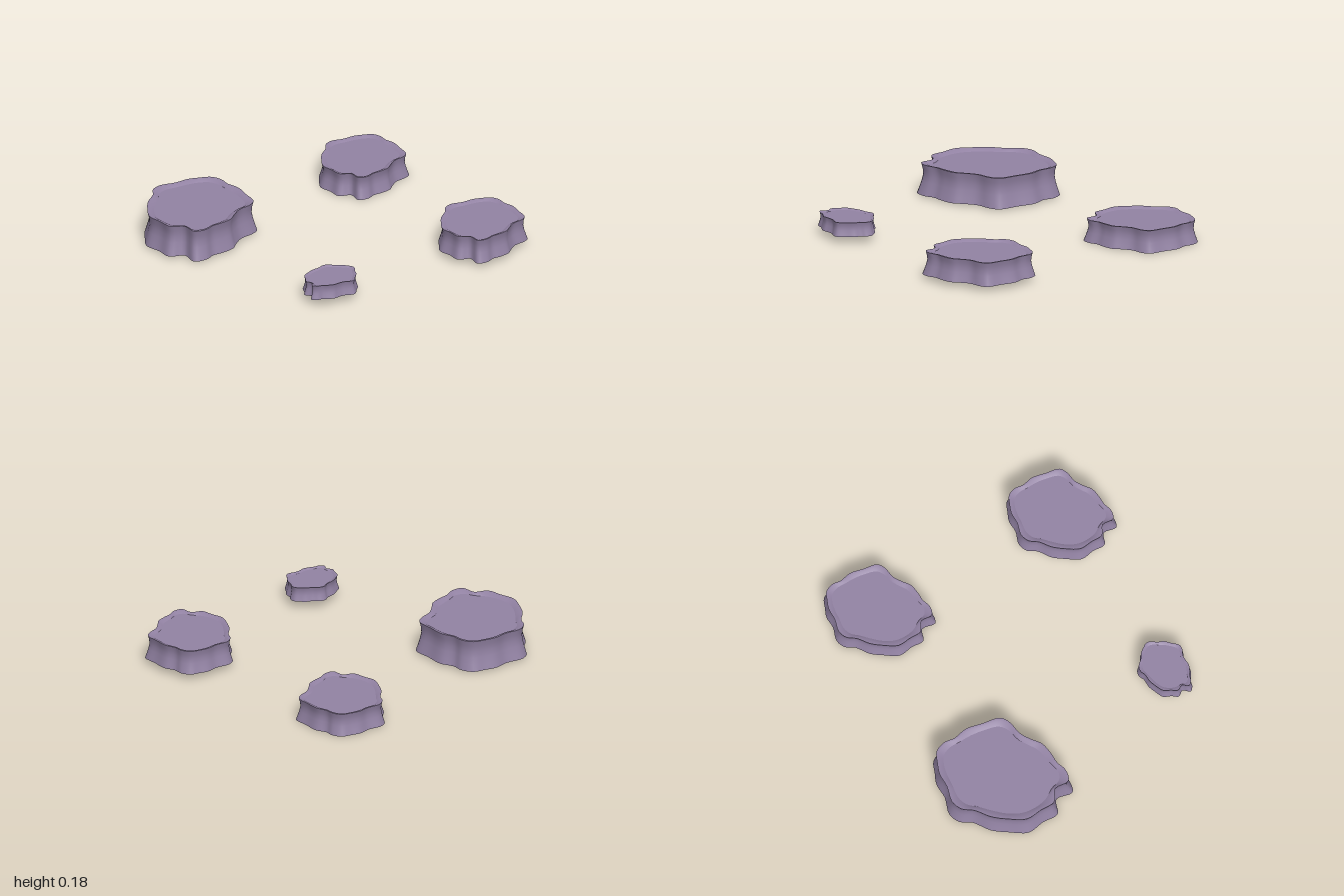
import * as THREE from 'three';

// Ragged stone outline (x, z in hundredths), clockwise seen from above
const OUTLINE = [
  [-7, -37], [0, -36], [5, -32], [13, -30], [21, -23], [29.5, -16], [29.5, -10], [26.5, -2],
  [27, 6], [28, 12], [25, 20], [22, 25], [21, 31.5], [16, 37], [8, 31.5], [1, 36.5],
  [-7, 32], [-16, 28.5], [-21.5, 19], [-25.5, 10], [-26.7, -0.5], [-30, -7], [-29, -14],
  [-22, -21], [-18, -28.5], [-12.5, -33],
].map(([x, z]) => new THREE.Vector2(x / 100, z / 100));
const SEGMENTS = 104;

// One closed ring: the outline softened, pulled inward and set at height y
function ring(inset, soften, y, scale = 1) {
  const n = OUTLINE.length;
  const pts = OUTLINE.map((p, i) => {
    const mean = OUTLINE[(i + n - 1) % n].clone().add(OUTLINE[(i + 1) % n]).multiplyScalar(0.5);
    const q = p.clone().lerp(mean, soften);
    q.setLength(q.length() - inset).multiplyScalar(scale);
    return new THREE.Vector3(q.x, y, q.y);
  });
  const curve = new THREE.CatmullRomCurve3(pts, true, 'centripetal');
  return Array.from({ length: SEGMENTS }, (_, i) => curve.getPoint(i / SEGMENTS));
}

// Smooth skin through a stack of rings
function loft(rings) {
  const index = [];
  for (let r = 0; r < rings.length - 1; r++) {
    for (let i = 0; i < SEGMENTS; i++) {
      const j = (i + 1) % SEGMENTS;
      const a = r * SEGMENTS, b = a + SEGMENTS;
      index.push(a + i, b + i, b + j, a + i, b + j, a + j);
    }
  }
  const geometry = new THREE.BufferGeometry().setFromPoints(rings.flat());
  geometry.setIndex(index);
  geometry.computeVertexNormals();
  return geometry;
}

export function createModel() {
  const model = new THREE.Group();
  model.name = 'steppingStones';
  const stoneMaterial = new THREE.MeshStandardMaterial({ color: 0x9282a3, side: THREE.DoubleSide });
  stoneMaterial.name = 'mauveStone';

  const parts = {
    // Waisted side wall, open underneath
    wall: loft([
      ring(0, 0, 0), ring(0.01, 0.05, 0.2), ring(0.02, 0.1, 0.42),
      ring(0.025, 0.15, 0.62), ring(0.022, 0.15, 0.82), ring(0.014, 0.15, 1),
    ]),
    // Narrow lip sloping down to the tread
    rim: loft([ring(0.014, 0.15, 1), ring(0.03, 0.25, 0.99), ring(0.05, 0.45, 0.92)]),
    // Flat, slightly sunken top
    tread: loft([ring(0.05, 0.45, 0.92), ring(0.05, 0.45, 0.92, 0.001)]),
  };

  // Position, plan scale, height and turn of each stone
  const stones = [
    { name: 'largeStone', at: [-0.7, 0.01, 0.365], size: 1, height: 0.17, turn: 0 },
    { name: 'backStone', at: [-0.208, 0, -0.7], size: 0.8, height: 0.125, turn: 0 },
    { name: 'leftStone', at: [0.761, 0.03, -0.13], size: 0.79, height: 0.13, turn: 0 },
    { name: 'smallStone', at: [0.307, 0.04, 0.81], size: 0.46, height: 0.078, turn: -0.576 },
  ];
  for (const { name, at, size, height, turn } of stones) {
    const stone = new THREE.Group();
    stone.name = name;
    for (const [part, geometry] of Object.entries(parts)) {
      const mesh = new THREE.Mesh(geometry, stoneMaterial);
      mesh.name = part;
      stone.add(mesh);
    }
    stone.position.set(...at);
    stone.scale.set(size, height, size);
    stone.rotation.y = turn;
    model.add(stone);
  }
  return model;
}
